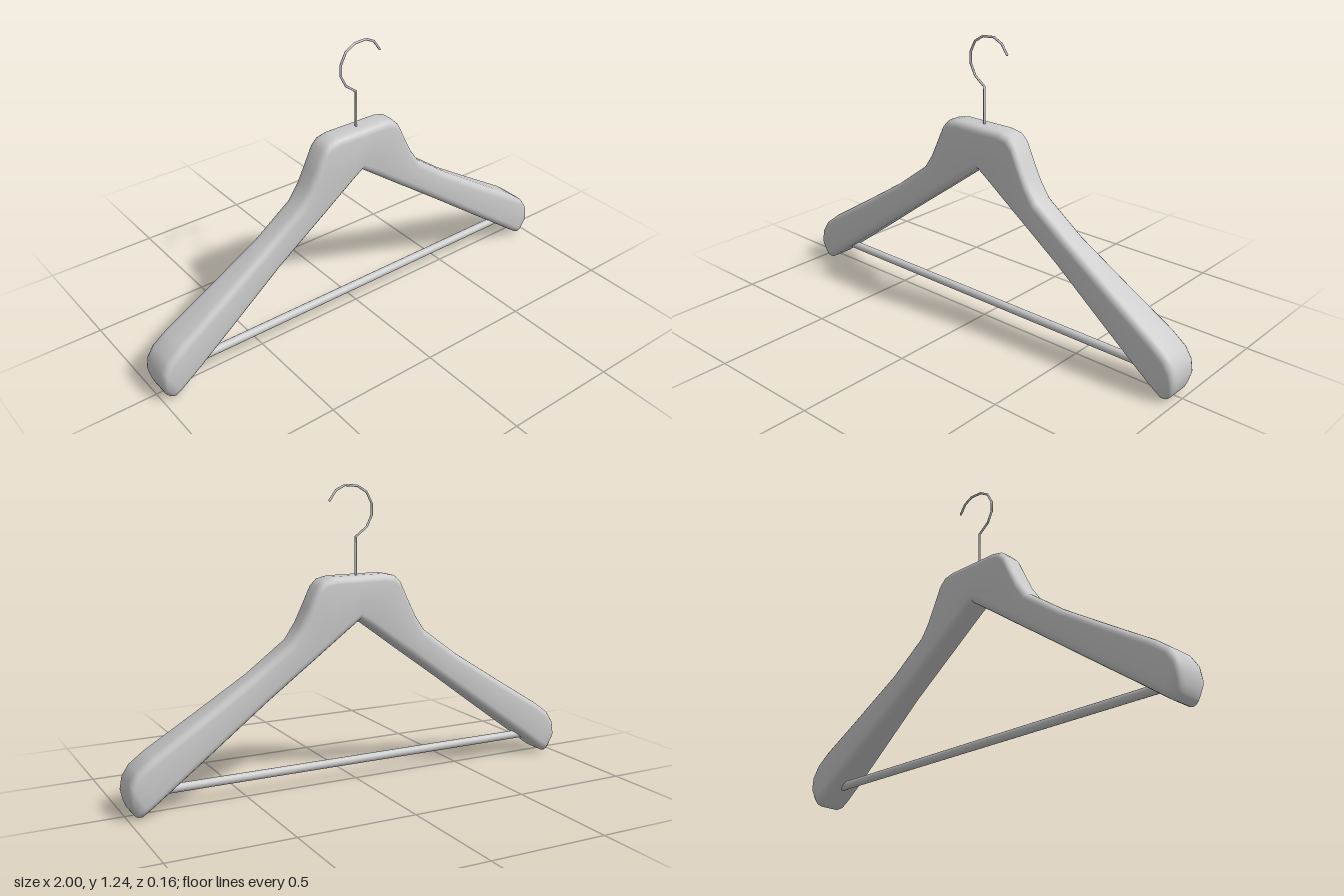
import * as THREE from 'three';
import { toCreasedNormals } from 'three/addons/utils/BufferGeometryUtils.js';

const material = new THREE.MeshStandardMaterial({ color: 0xcccccc, roughness: 0.7, side: THREE.DoubleSide });

// Unit rounded rectangle section: sign of the corner plus the offset within its round
function sectionPoints(steps) {
  const points = [];
  for (let q = 0; q < 4; q++) {
    for (let s = 0; s <= steps; s++) {
      const a = (q + s / steps) * Math.PI / 2;
      points.push({ sz: q === 0 || q === 3 ? 1 : -1, sy: q < 2 ? 1 : -1, cz: Math.cos(a), cy: Math.sin(a) });
    }
  }
  return points;
}

// Loft rounded sections along the hanger from the left tip to the right tip
function loftBody(stations) {
  const section = sectionPoints(4), n = section.length;
  const positions = [], index = [];
  for (const [tx, ty, bx, by, t] of stations) {
    const length = Math.hypot(tx - bx, ty - by);
    const r = Math.min(0.03, length * 0.4), ry = r / length;
    for (const { sz, sy, cz, cy } of section) {
      const k = 0.5 + sy * (0.5 - ry) + cy * ry;
      positions.push(bx + (tx - bx) * k, by + (ty - by) * k, sz * (t - r) + cz * r);
    }
  }
  const last = stations.length - 1;
  for (let i = 0; i < last; i++) {
    for (let j = 0; j < n; j++) {
      const k = (j + 1) % n;
      const a = i * n + j, b = a + n, c = (i + 1) * n + k, d = i * n + k;
      index.push(a, b, c, a, c, d);
    }
  }
  // Close both tips
  for (let j = 1; j < n - 1; j++) {
    index.push(0, j, j + 1);
    index.push(last * n, last * n + j + 1, last * n + j);
  }
  const geometry = new THREE.BufferGeometry();
  geometry.setAttribute('position', new THREE.Float32BufferAttribute(positions, 3));
  geometry.setIndex(index);
  return toCreasedNormals(geometry, 0.9);
}

export function createModel() {
  const group = new THREE.Group();
  const add = (name, geometry) => {
    const mesh = new THREE.Mesh(geometry, material);
    mesh.name = name;
    group.add(mesh);
    return mesh;
  };

  // Wooden body: top x, top y, bottom x, bottom y, half thickness
  const half = [
    [0.12, 0.875, 0.06, 0.647, 0.056],
    [0.165, 0.865, 0.1, 0.618, 0.056],
    [0.192, 0.838, 0.13, 0.596, 0.056],
    [0.232, 0.755, 0.17, 0.567, 0.056],
    [0.265, 0.69, 0.205, 0.541, 0.056],
    [0.31, 0.625, 0.25, 0.509, 0.056],
    [0.48, 0.5, 0.42, 0.386, 0.056],
    [0.7, 0.36, 0.63, 0.233, 0.068],
    [0.9, 0.235, 0.82, 0.096, 0.079],
    [0.962, 0.188, 0.885, 0.048, 0.08],
    [0.99, 0.145, 0.922, 0.021, 0.08],
    [1.0, 0.095, 0.943, 0.006, 0.077],
    [0.992, 0.05, 0.955, 0.0, 0.062],
    [0.982, 0.025, 0.963, 0.004, 0.05],
  ];
  const mirrored = half.map(([tx, ty, bx, by, t]) => [-tx, ty, -bx, by, t]).reverse();
  add('body', loftBody([...mirrored, [0, 0.875, 0, 0.69, 0.056], ...half]));

  // Trouser bar between the arms
  add('trouserBar', new THREE.CylinderGeometry(0.018, 0.018, 1.77, 16).rotateZ(Math.PI / 2).translate(0, 0.082, 0));

  // Faceted wire hook, one tube segment per point
  const points = [
    [0, 0.84], [0, 1.03], [-0.05, 1.068], [-0.074, 1.115], [-0.074, 1.163], [-0.05, 1.21],
    [-0.008, 1.236], [0.05, 1.24], [0.09, 1.22], [0.118, 1.18],
  ].map(([x, y]) => new THREE.Vector3(x, y, 0));
  const curve = new THREE.CatmullRomCurve3(points);
  curve.getUtoTmapping = (u) => u;
  add('hook', new THREE.TubeGeometry(curve, points.length - 1, 0.005, 8));
  add('hookTip', new THREE.SphereGeometry(0.005, 8, 6)).position.copy(points[points.length - 1]);

  return group;
}
